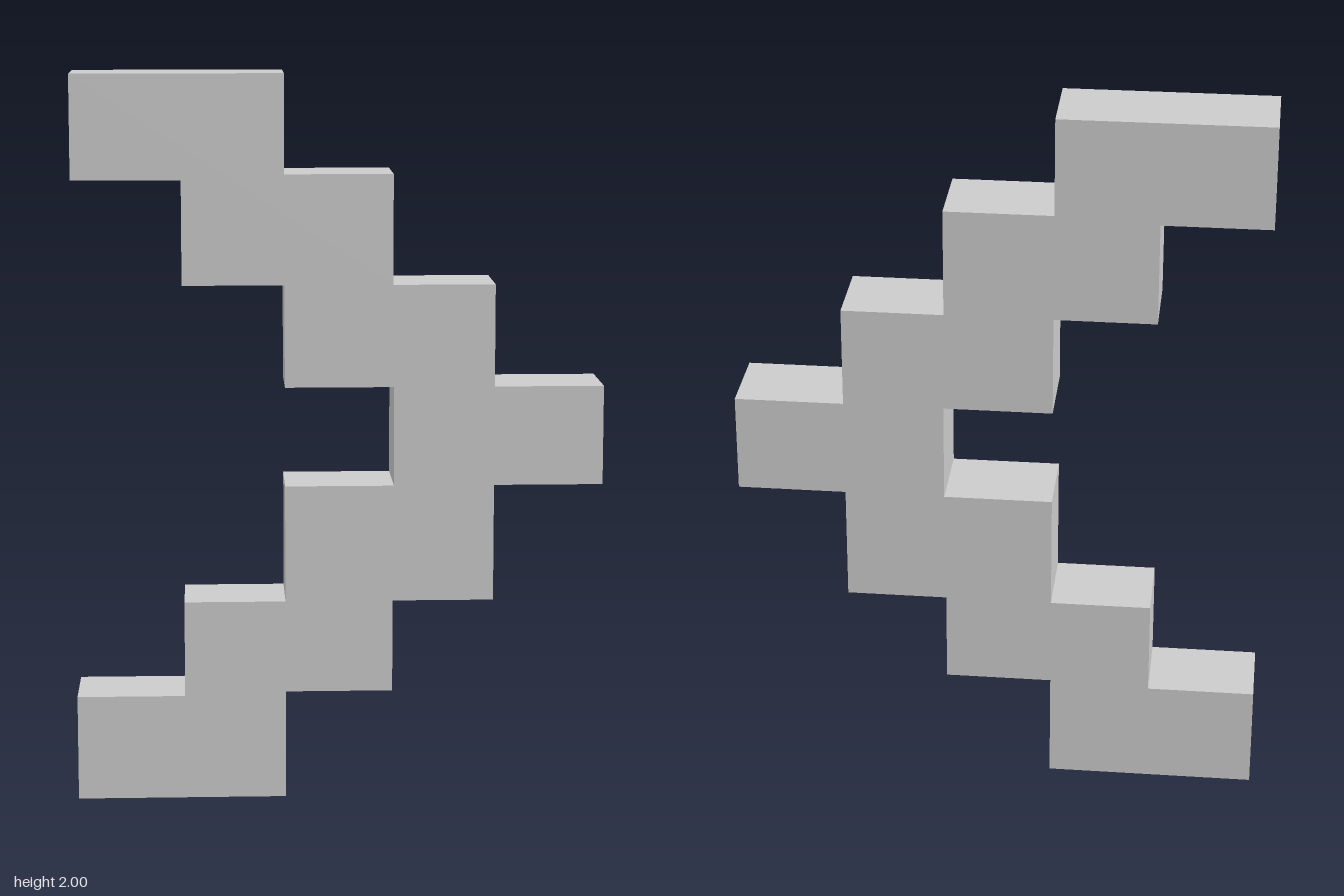
import * as THREE from 'three';

const DEPTH = 0.226;

// Stepped outline, walked counter-clockwise from the bottom left corner
const OUTLINE = [
  // outer steps, up to the tip and back to the top
  [-0.725, 0], [-0.15, 0], [-0.15, 0.3], [0.145, 0.3], [0.145, 0.555],
  [0.423, 0.555], [0.423, 0.877], [0.722, 0.877], [0.722, 1.15], [0.423, 1.15],
  [0.423, 1.43], [0.145, 1.43], [0.145, 1.73], [-0.15, 1.73], [-0.15, 2],
  // inner steps, back down
  [-0.725, 2], [-0.725, 1.715], [-0.428, 1.715], [-0.428, 1.43], [-0.15, 1.43],
  [-0.15, 1.15], [0.148, 1.15], [0.148, 0.877], [-0.15, 0.877], [-0.15, 0.555],
  [-0.428, 0.555], [-0.428, 0.29], [-0.725, 0.29],
];

export function createModel() {
  const group = new THREE.Group();
  group.name = 'steppedChevron';

  // Flat slab with a stepped arrow outline
  const shape = new THREE.Shape(OUTLINE.map(([x, y]) => new THREE.Vector2(x, y)));
  const geometry = new THREE.ExtrudeGeometry(shape, { depth: DEPTH, bevelEnabled: false });
  geometry.translate(0, 0, -DEPTH / 2);

  const material = new THREE.MeshStandardMaterial({ color: 0xcccccc, flatShading: true });
  const chevron = new THREE.Mesh(geometry, material);
  chevron.name = 'chevron';
  group.add(chevron);
  return group;
}
